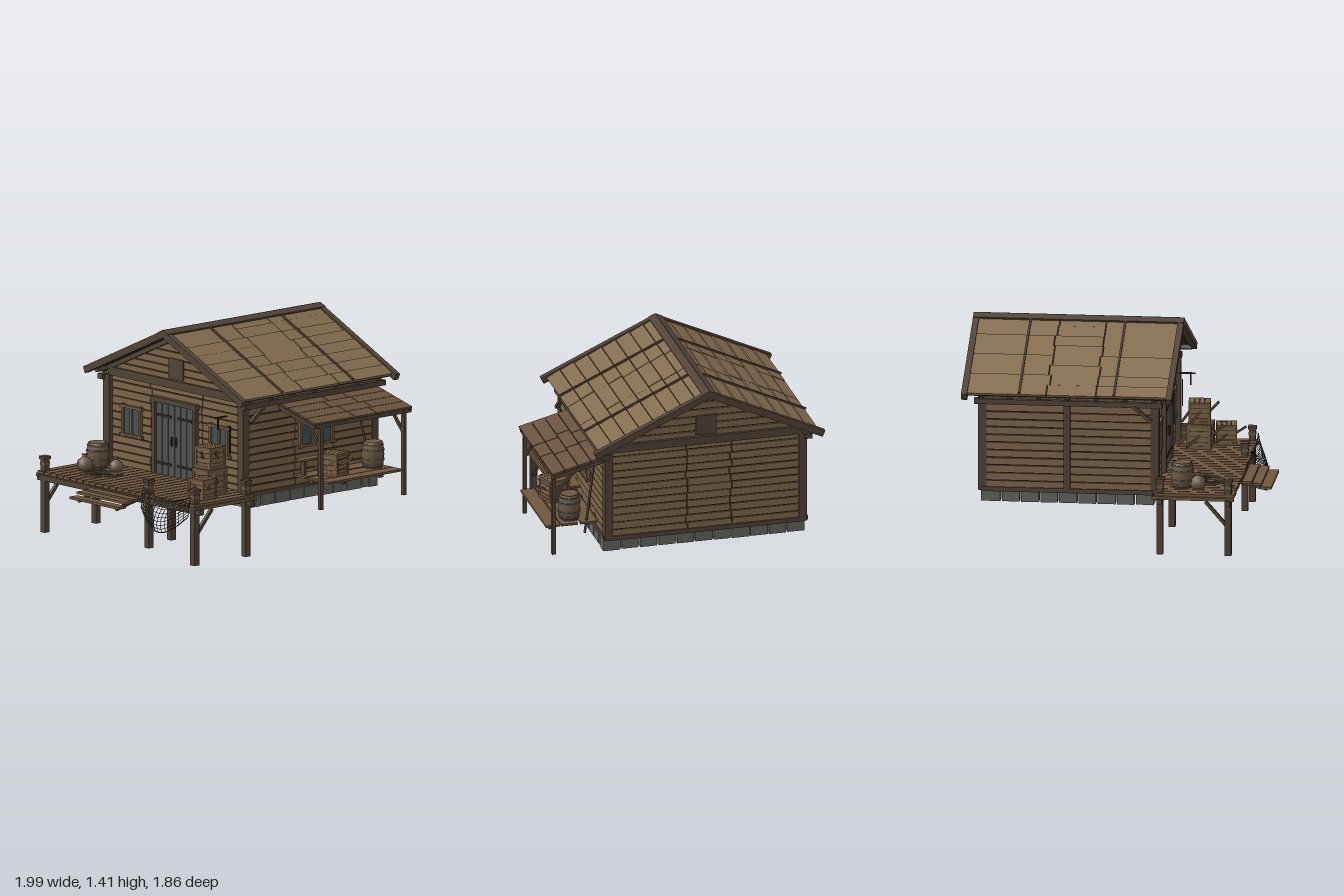
import * as THREE from 'three';

const mat = (name, color) => Object.assign(new THREE.MeshStandardMaterial({ color }), { name });
const M = {
  roof: mat('weathered roof wood', 0x836c4f),
  wall: mat('wall plank wood', 0x7b6348),
  trim: mat('dark timber', 0x514338),
  gap: mat('shadow gap', 0x2e2720),
  deck: mat('deck wood', 0x6f573f),
  awning: mat('awning wood', 0x6a533e),
  stone: mat('foundation stone', 0x64655e),
  glass: mat('window glass', 0x42505a),
  door: mat('door grey', 0x4f5150),
  sack: mat('sack cloth', 0x6a5a45),
};

let seed = 7;
const rnd = (a = 1) => { seed = (seed * 16807) % 2147483647; return (seed / 2147483647 - 0.5) * 2 * a; };

function add(p, name, m, geo, x = 0, y = 0, z = 0) {
  const o = new THREE.Mesh(geo, m);
  o.name = name; o.position.set(x, y, z); p.add(o);
  return o;
}
const box = (p, name, m, w, h, d, x, y, z) => add(p, name, m, new THREE.BoxGeometry(w, h, d), x, y, z);
function group(p, name, x = 0, y = 0, z = 0, ry = 0) {
  const g = new THREE.Group();
  g.name = name; g.position.set(x, y, z); g.rotation.y = ry; p.add(g);
  return g;
}
// square timber between two points
function beam(p, name, m, a, b, t) {
  const A = new THREE.Vector3(...a), B = new THREE.Vector3(...b);
  const o = box(p, name, m, t, t, A.distanceTo(B), 0, 0, 0);
  o.position.copy(A).add(B).multiplyScalar(0.5); o.lookAt(B);
  return o;
}
const tube = (p, name, m, pts, r, n = 24) => add(p, name, m,
  new THREE.TubeGeometry(new THREE.CatmullRomCurve3(pts.map(q => new THREE.Vector3(...q))), n, r, 5));

// cut a span into boards at jittered joints
function boards(L, joints, jitter, fn) {
  const cuts = [-L / 2, ...joints.map(j => j + rnd(jitter)), L / 2];
  for (let i = 0; i + 1 < cuts.length; i++) fn((cuts[i] + cuts[i + 1]) / 2, cuts[i + 1] - cuts[i] - 0.006);
}

// wall in local space: x along, z outward
function wall(p, name, L, x, z, ry, joints) {
  const g = group(p, name, x, 0, z, ry), y0 = 0.4, rows = 12, h = 0.62 / rows;
  box(g, 'lining', M.awning, L, 0.62, 0.02, 0, 0.71, -0.024);
  box(g, 'plankGaps', M.gap, L, 0.62, 0.01, 0, 0.71, -0.009);
  for (let i = 0; i < rows; i++) boards(L, joints, 0.01, (cx, w) => {
    box(g, 'wallPlank', M.wall, w, h - 0.007 + rnd(0.002), 0.012, cx, y0 + (i + 0.5) * h, 0.002).rotation.x = -0.06;
  });
  box(g, 'sill', M.trim, L, 0.03, 0.03, 0, 0.395, 0.005);
  return g;
}

function windowUnit(g, x, y, w, h) {
  const u = group(g, 'window', x, y, 0.01);
  box(u, 'glass', M.glass, w, h, 0.008, 0, 0, 0.004);
  box(u, 'innerGlass', M.glass, w, h, 0.006, 0, 0, -0.048);
  for (const s of [-1, 1]) {
    box(u, 'frameSide', M.deck, 0.02, h + 0.03, 0.025, s * w / 2, 0, 0.008);
    box(u, 'frameRail', M.deck, w + 0.05, 0.018, 0.028, 0, s * h / 2, 0.008);
  }
  box(u, 'mullion', M.deck, 0.02, h, 0.022, 0, 0, 0.008);
  return u;
}

// gable: plank rows narrowing under the roof
function gable(p, x, ry) {
  const g = group(p, 'gable', x, 0, -0.13, ry), half = y => Math.min(0.68, (1.355 - y) / 0.4586);
  const slab = (name, m, y0, y1, d, z) => {
    const s = new THREE.Shape([[-half(y0), y0], [half(y0), y0], [half(y1), y1], [-half(y1), y1]].map(q => new THREE.Vector2(...q)));
    add(g, name, m, new THREE.ExtrudeGeometry(s, { depth: d, bevelEnabled: false }), 0, 0, z);
  };
  slab('gableLining', M.gap, 1.045, 1.352, 0.02, -0.025);
  slab('gableLining', M.gap, 1.0, 1.045, 0.02, -0.025);
  for (let i = 0; i < 6; i++) slab('gablePlank', M.wall, 1.047 + i * 0.05, 1.09 + i * 0.05, 0.012, -0.005);
  box(g, 'tieBeam', M.trim, 1.3, 0.055, 0.03, 0, 1.03, 0.012);
  box(g, 'loftHatch', M.trim, 0.14, 0.135, 0.02, 0, 1.135, 0.008);
}

function roofSide(p, ry) {
  const g = group(group(p, 'roofSide', 0.295, 1.41, -0.127, ry), 'roofSlope');
  g.rotation.x = Math.atan(0.4586);
  const rows = 8, len = 0.83, pitch = len / rows;
  box(g, 'roofDeck', M.gap, 1.32, 0.012, len - 0.01, 0, -0.032, len / 2);
  for (let i = 0; i < rows; i++) boards(1.34, [-0.13, 0.185], 0.012, (cx, w) => {
    box(g, 'roofBoard', M.roof, w, 0.014, pitch - 0.004, cx, -0.017 + rnd(0.002), (i + 0.5) * pitch).rotation.x = 0.06;
  });
  for (const x of [-0.315, 0.31]) box(g, 'batten', M.trim, 0.014, 0.012, len, x, -0.004, len / 2);
  for (const s of [-1, 1]) box(g, 'bargeBoard', M.trim, 0.04, 0.045, 0.862, s * 0.675, -0.022, 0.431);
  for (let i = 0; i < 7; i++) box(g, 'rafter', M.trim, 0.03, 0.03, len - 0.03, -0.57 + i * 0.19, -0.052, len / 2);
  box(g, 'purlin', M.trim, 1.34, 0.03, 0.03, 0, -0.05, 0.77);
  box(g, 'ridgeBoard', M.trim, 1.39, 0.016, 0.052, 0, -0.004, 0.026);
}

function crate(p, x, y, z, s, ry) {
  const g = group(p, 'crate', x, y + s / 2, z, ry), t = s * 0.13, e = s / 2 - t / 2;
  box(g, 'crateGaps', M.gap, s * 0.86, s * 0.9, s * 0.86, 0, 0, 0);
  for (let k = 0; k < 4; k++) {
    const f = group(g, 'crateSide', 0, 0, 0, k * Math.PI / 2);
    for (let i = 0; i < 4; i++) box(f, 'crateSlat', M.wall, s * 0.88, s * 0.2, 0.008, 0, (i - 1.5) * s * 0.23, s * 0.44);
    box(f, 'crateCorner', M.deck, t, s, t, e, 0, e);
    for (const v of [-e, e]) box(f, 'crateRail', M.deck, s, t, t, 0, v, e);
    beam(f, 'crateBrace', M.deck, [-e, -e, s * 0.455], [e, e, s * 0.455], t * 0.7);
  }
  for (let i = 0; i < 4; i++) box(g, 'crateLid', M.wall, s * 0.2, 0.01, s * 0.9, (i - 1.5) * s * 0.23, s * 0.46, 0);
}

function barrel(p, x, y, z, r, h) {
  const g = group(p, 'barrel', x, y, z);
  const pts = [[0, 0], [0.82, 0], [0.95, 0.25], [1, 0.5], [0.95, 0.75], [0.82, 1], [0.72, 1], [0.72, 0.95], [0, 0.95]];
  add(g, 'barrelStaves', M.deck, new THREE.LatheGeometry(pts.map(q => new THREE.Vector2(q[0] * r, q[1] * h)), 14));
  for (const [f, k] of [[0.12, 0.9], [0.32, 0.985], [0.68, 0.985], [0.88, 0.9]])
    add(g, 'barrelHoop', M.door, new THREE.CylinderGeometry(r * k + 0.003, r * k + 0.003, 0.012, 14), 0, f * h, 0);
}

function sack(p, x, y, z, r) {
  const pts = [[0, 0], [0.8, 0.02], [1, 0.5], [0.85, 1.1], [0.3, 1.5], [0.22, 1.6], [0.42, 1.85], [0, 1.8]];
  add(p, 'sack', M.sack, new THREE.LatheGeometry(pts.map(q => new THREE.Vector2(q[0] * r, q[1] * r)), 10), x, y, z);
}

function buildHouse(root) {
  const h = group(root, 'house');
  // foundation ring of stones
  for (let i = 0; i < 9; i++) for (const z of [0.525, -0.765])
    box(h, 'foundationStone', M.stone, 0.116 + rnd(0.006), 0.08 + rnd(0.005), 0.07, -0.21 + i * 0.126, 0.348, z);
  for (let i = 0; i < 11; i++) for (const x of [-0.235, 0.835])
    box(h, 'foundationStone', M.stone, 0.07, 0.08 + rnd(0.005), 0.116 + rnd(0.006), x, 0.348, 0.507 - i * 0.125);
  const front = wall(h, 'frontWall', 1.13, 0.3, 0.545, 0, [-0.15, 0.2]);
  const back = wall(h, 'backWall', 1.13, 0.3, -0.805, Math.PI, [0]);
  wall(h, 'rightWall', 1.34, 0.865, -0.13, Math.PI / 2, [-0.13, 0.17]);
  const left = wall(h, 'leftWall', 1.34, -0.265, -0.13, -Math.PI / 2, [-0.25, 0.25]);
  box(back, 'middlePost', M.trim, 0.045, 0.62, 0.03, 0, 0.7, 0.012);
  for (const w of [front, back]) box(w, 'topPlate', M.trim, 1.24, 0.035, 0.05, 0.01, 0.99, 0.015);
  for (const x of [-0.28, 0.86]) for (const z of [0.532, -0.787])
    box(h, 'cornerPost', M.trim, 0.055, 0.62, 0.055, x, 0.695, z);
  gable(h, 0.865, Math.PI / 2);
  gable(h, -0.265, -Math.PI / 2);
  for (const z of [0.58, -0.84]) beam(h, 'eaveBrace', M.trim, [-0.26, 0.88, z], [-0.14, 0.98, z], 0.022);
  // windows
  windowUnit(front, 0.035, 0.755, 0.28, 0.19);
  box(front, 'windowPost', M.deck, 0.065, 0.19, 0.022, 0.015, 0.755, 0.02);
  for (const s of [-1, 1]) windowUnit(left, s * 0.43, 0.72, 0.17, 0.19);
  // double door
  const d = group(left, 'doubleDoor', 0, 0.65, 0.01);
  box(d, 'doorBack', M.gap, 0.37, 0.49, 0.008, 0, 0, 0.002);
  box(d, 'doorInside', M.glass, 0.37, 0.47, 0.006, 0, 0, -0.048);
  for (let i = 0; i < 6; i++) box(d, 'doorPlank', M.door, 0.055, 0.48, 0.012, (i - 2.5) * 0.06, 0, 0.012);
  for (const s of [-1, 1]) {
    box(d, 'doorJamb', M.trim, 0.03, 0.51, 0.035, s * 0.2, 0, 0.012);
    for (const y of [-0.16, 0.16]) box(d, 'doorStrap', M.gap, 0.14, 0.018, 0.006, s * 0.1, y, 0.021);
    box(d, 'doorHandle', M.gap, 0.01, 0.06, 0.015, s * 0.018, 0, 0.024);
  }
  box(d, 'doorLintel', M.trim, 0.45, 0.035, 0.04, 0, 0.262, 0.014);
  // lamp bracket beside the door
  box(h, 'bracketArm', M.gap, 0.11, 0.01, 0.012, -0.36, 0.905, 0.4);
  box(h, 'bracketHook', M.gap, 0.008, 0.08, 0.008, -0.385, 0.865, 0.4);
  box(h, 'hangingPole', M.gap, 0.008, 0.18, 0.008, -0.325, 0.76, 0.45);
  roofSide(h, 0);
  roofSide(h, Math.PI);
}

function buildAwning(root) {
  const a = group(root, 'awning');
  const r = group(a, 'awningRoof', 0.44, 0.975, 0.56);
  r.rotation.x = 0.248;
  box(r, 'awningSheet', M.gap, 0.83, 0.006, 0.35, 0, -0.012, 0.178);
  for (let i = 0; i < 4; i++) boards(0.86, [-0.1, 0.13], 0.03, (cx, w) =>
    box(r, 'awningBoard', M.awning, w, 0.012, 0.087, cx, -0.004, 0.045 + i * 0.091));
  for (const x of [-0.42, -0.14, 0.14, 0.42]) box(r, 'awningRafter', M.trim, 0.022, 0.025, 0.36, x, -0.028, 0.18);
  box(a, 'awningBeam', M.trim, 0.8, 0.025, 0.025, 0.45, 0.86, 0.888);
  for (const x of [0.083, 0.815]) {
    box(a, 'awningPost', M.trim, 0.026, 0.57, 0.026, x, 0.585, 0.888);
    beam(a, 'awningBrace', M.trim, [x, 0.72, 0.88], [x, 0.87, 0.75], 0.018);
  }
  // low platform with goods
  for (const z of [0.88, 0.767, 0.635]) box(a, 'platformPlank', M.deck, 0.65, 0.014, z > 0.85 ? 0.095 : 0.115, 0.445, 0.477, z);
  for (const x of [0.29, 0.62]) box(a, 'platformBearer', M.trim, 0.035, 0.03, 0.33, x, 0.457, 0.72);
  box(a, 'bearerLeg', M.trim, 0.035, 0.06, 0.035, 0.29, 0.43, 0.58);
  box(a, 'benchTop', M.deck, 0.3, 0.014, 0.07, 0.26, 0.585, 0.63);
  for (const x of [0.16, 0.37]) box(a, 'benchLeg', M.trim, 0.018, 0.1, 0.04, x, 0.532, 0.63);
  crate(a, 0.315, 0.484, 0.75, 0.15, 0.3);
  barrel(a, 0.67, 0.484, 0.745, 0.075, 0.175);
  beam(a, 'leaningPole', M.trim, [0.75, 0.4, 0.66], [0.685, 0.85, 0.58], 0.012);
}

function buildDeck(root) {
  const d = group(root, 'deck');
  for (let i = 0; i < 24; i++) box(d, 'deckPlank', M.deck, 0.53, 0.02, 0.055, -0.543 + rnd(0.006), 0.404, -0.87 + i * 0.0642);
  for (const x of [-0.77, -0.32]) box(d, 'longBearer', M.trim, 0.036, 0.038, 1.6, x, 0.363, -0.13);
  for (const z of [-0.905, 0.637]) box(d, 'endBearer', M.deck, 0.54, 0.022, 0.022, -0.54, 0.385, z);
  for (const [x, z, y0, y1] of [[-0.77, 0.6, 0, 0.5], [-0.77, 0.15, 0.05, 0.5], [-0.77, -0.87, 0, 0.5],
    [-0.32, 0.6, 0, 0.5], [-0.32, -0.87, 0, 0.5], [-0.32, -0.13, 0, 0.38]]) {
    box(d, 'deckPost', M.trim, 0.042, y1 - y0, 0.042, x, (y0 + y1) / 2, z);
    if (y1 < 0.5) continue;
    box(d, 'postCap', M.trim, 0.056, 0.02, 0.056, x, 0.5, z);
    box(d, 'postBand', M.sack, 0.048, 0.02, 0.048, x, 0.46, z);
  }
  for (const z of [0.6, -0.87]) beam(d, 'deckBrace', M.trim, [-0.76, 0.2, z], [-0.62, 0.36, z], 0.022);
  // steps
  for (const [x, y] of [[-0.965, 0.335], [-0.905, 0.36], [-0.84, 0.37]])
    box(d, 'step', M.deck, x < -0.95 ? 0.07 : 0.062, 0.016, 0.48, x, y, -0.135);
  for (const z of [-0.32, 0.05]) beam(d, 'stepStringer', M.trim, [-0.97, 0.318, z], [-0.78, 0.36, z], 0.02);
  // sagging net between posts
  const net = group(d, 'fishingNet');
  const pt = (u, v) => {
    const s = Math.sin(Math.PI * u);
    return [-0.81 - 0.02 * v - 0.075 * s * Math.sin(Math.PI * v * 0.75), 0.46 - 0.06 * s - v * (0.13 + 0.07 * s), 0.14 + 0.46 * u];
  };
  const steps = [0, 0.2, 0.4, 0.6, 0.8, 1];
  for (let i = 0; i <= 14; i++) tube(net, 'netCord', M.gap, steps.map(v => pt(i / 14, v)), 0.002, 10);
  for (let j = 0; j <= 8; j++) tube(net, 'netLine', M.gap, steps.map(u => pt(u, j / 8)), j % 8 ? 0.002 : 0.004, 16);
  // cargo
  crate(d, -0.61, 0.414, 0.5, 0.135, 0.12);
  crate(d, -0.45, 0.414, 0.39, 0.165, -0.05);
  crate(d, -0.445, 0.58, 0.39, 0.145, 0.08);
  barrel(d, -0.45, 0.414, -0.71, 0.075, 0.17);
  sack(d, -0.555, 0.414, -0.72, 0.055);
  sack(d, -0.44, 0.414, -0.54, 0.05);
  const coil = [];
  for (let i = 0; i <= 48; i++) {
    const a = i * Math.PI / 6, r = 0.04 + i * 0.0013;
    coil.push([-0.62 + r * Math.cos(a), 0.422, -0.54 + r * Math.sin(a)]);
  }
  coil.push([-0.58, 0.422, -0.43], [-0.66, 0.422, -0.46], [-0.6, 0.422, -0.41], [-0.51, 0.422, -0.4], [-0.51, 0.422, -0.45]);
  tube(d, 'ropeCoil', M.sack, coil, 0.007, 160);
}

export function createModel() {
  const root = new THREE.Group();
  root.name = 'fishingCabin';
  buildHouse(root);
  buildAwning(root);
  buildDeck(root);
  return root;
}
